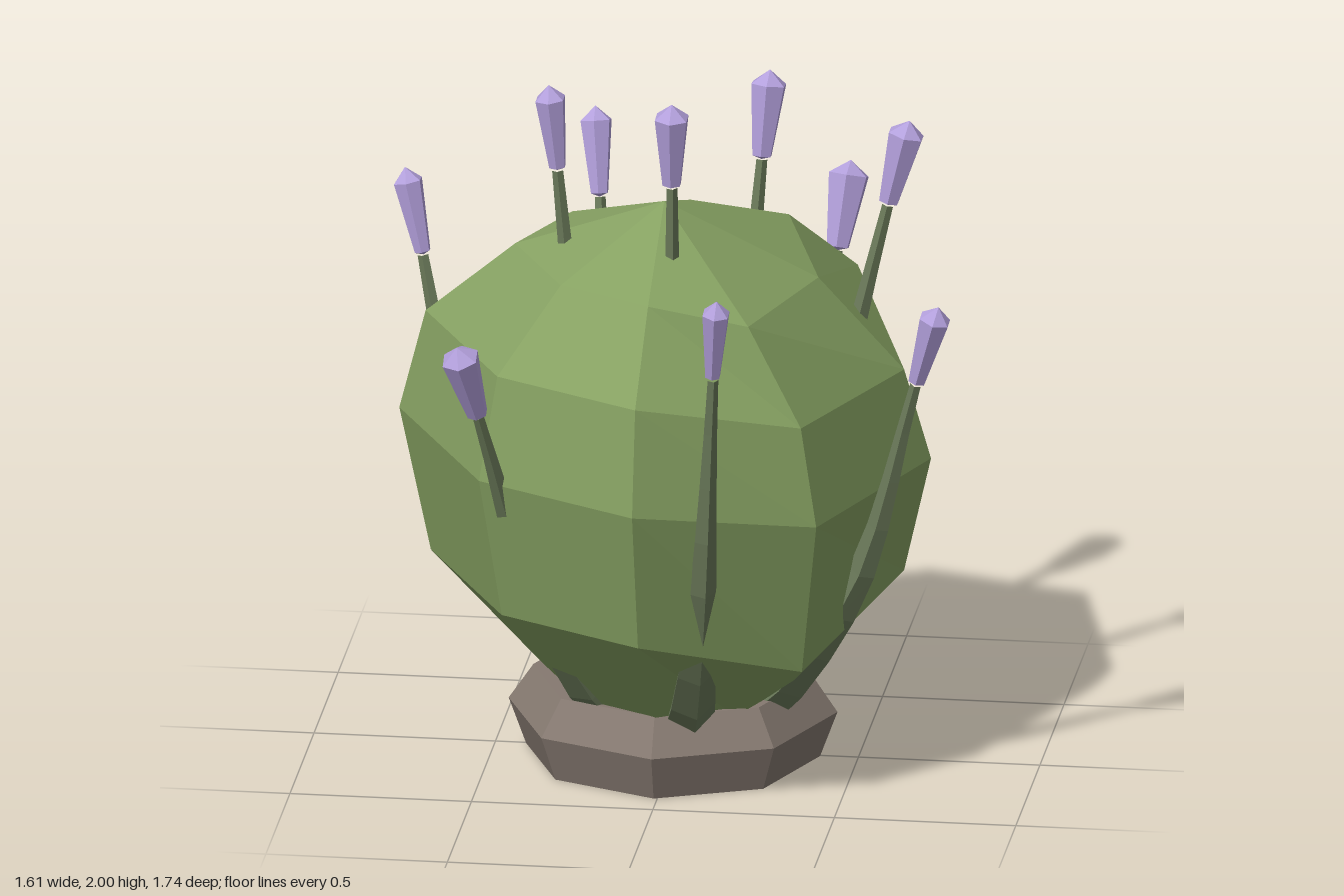
import * as THREE from 'three';

const mat = (color) => new THREE.MeshStandardMaterial({ color, flatShading: true });
const V = (x, y, z) => new THREE.Vector3(x, y, z);
const lathe = (profile, sides) =>
  new THREE.LatheGeometry(profile.map(([r, y]) => new THREE.Vector2(r, y)), sides);

// Faceted body: eight columns swept through five rings, closed by two poles
function bodyGeometry() {
  // equator corner [x, z] of each column, from the left side to the front and round
  const columns = [[0.70, 0], [0.46, 0.575], [-0.015, 0.82], [-0.47, 0.57],
    [-0.765, 0], [-0.555, -0.49], [-0.015, -0.73], [0.48, -0.585]];
  // ring height, scale, z shift, sag of the first two columns
  const rings = [
    [1.47, 0.57, 0.07, -0.06, -0.06],
    [1.25, 0.90, 0.03, -0.11, -0.11],
    [0.955, 1, 0, -0.08, -0.09],
    [0.54, 0.89, -0.02, 0, -0.125],
    [0.19, 0.43, 0, 0, 0],
  ];
  const n = columns.length;
  const points = [];
  for (const [y, scale, dz, ...sag] of rings) {
    columns.forEach(([x, z], j) => points.push(x * scale, y + (sag[j] ?? 0), z * scale + dz));
  }
  points[5] += 0.1; // fuller shoulder at one front corner
  const top = rings.length * n, bottom = top + 1;
  points.push(-0.015, 1.64, 0.15, -0.01, 0.12, 0);
  const index = [];
  for (let j = 0; j < n; j++) {
    const k = (j + 1) % n, last = (rings.length - 1) * n;
    index.push(top, k, j, bottom, last + j, last + k);
    for (let i = 0; i < rings.length - 1; i++) {
      const a = i * n + j, b = i * n + k, c = b + n, d = a + n;
      index.push(b, c, d, b, d, a);
    }
  }
  const g = new THREE.BufferGeometry();
  g.setAttribute('position', new THREE.Float32BufferAttribute(points, 3));
  g.setIndex(index);
  const flat = g.toNonIndexed();
  flat.computeVertexNormals();
  return flat;
}

// Curved stem, thick at the root and thin under the bud
function stemGeometry(path, rootRadius, endRadius) {
  const curve = new THREE.CatmullRomCurve3(path);
  const steps = 8, sides = 5;
  const g = new THREE.TubeGeometry(curve, steps, 1, sides);
  const pos = g.attributes.position, p = V(0, 0, 0);
  for (let i = 0; i <= steps; i++) {
    const c = curve.getPointAt(i / steps);
    const r = endRadius + (rootRadius - endRadius) * (1 - i / steps) ** 1.3;
    for (let s = 0; s <= sides; s++) {
      const k = i * (sides + 1) + s;
      p.fromBufferAttribute(pos, k).sub(c).multiplyScalar(r).add(c);
      pos.setXYZ(k, p.x, p.y, p.z);
    }
  }
  g.computeVertexNormals();
  return g;
}

// Flower: the stem leaves the pot, turns upward at the bend and runs straight to the tip
function makeFlower(tip, bend, radius, stemMat, budMat) {
  const length = 0.25;
  const axis = tip.clone().sub(bend).normalize();
  const base = tip.clone().addScaledVector(axis, -length);
  const path = [
    V(bend.x * 0.42, 0.18, bend.z * 0.42),
    V(bend.x * 0.62, 0.29, bend.z * 0.62),
    bend,
    base,
  ];
  const stem = new THREE.Mesh(stemGeometry(path, 0.075, 0.016), stemMat);
  stem.name = 'stem';

  // six-sided bud, widening upward to a shallow point
  const profile = [[0, 0], [radius * 0.55, 0.01], [radius, length - 0.04], [0, length]];
  const bud = new THREE.Mesh(lathe(profile, 6), budMat);
  bud.name = 'bud';
  bud.quaternion.setFromUnitVectors(V(0, 1, 0), axis);
  bud.position.copy(base);

  const flower = new THREE.Group();
  flower.add(stem, bud);
  return flower;
}

export function createModel() {
  const model = new THREE.Group();
  model.name = 'pottedPlant';

  const body = new THREE.Mesh(bodyGeometry(), mat(0x86a162));
  body.name = 'body';
  model.add(body);

  // Octagonal pot with a chamfered rim
  const potProfile = [[0, 0], [0.405, 0], [0.453, 0.13], [0.385, 0.23], [0, 0.23]];
  const pot = new THREE.Mesh(lathe(potProfile, 8), mat(0x857970));
  pot.name = 'pot';
  pot.position.set(-0.01, 0, 0.005);
  model.add(pot);

  // Flowers: tip, bend, bud radius
  const stemMat = mat(0x6b7a5a), budMat = mat(0xb3a0dc);
  const flowers = [
    [V(-0.33, 1.97, 0.175), V(-0.22, 0.8, 0.12), 0.044],
    [V(0.035, 2.0, 0.375), V(0.02, 0.8, 0.25), 0.05],
    [V(0.195, 1.815, -0.465), V(0.12, 0.8, -0.3), 0.052],
    [V(0.63, 1.82, -0.085), V(0.37, 0.75, -0.04), 0.053],
    [V(0.775, 1.46, 0.41), V(0.54, 0.62, 0.29), 0.046],
    [V(0.22, 1.6, 0.835), V(0.15, 0.64, 0.64), 0.04],
    [V(-0.505, 1.41, 0.77), V(-0.34, 0.62, 0.46), 0.054],
    [V(-0.78, 1.57, -0.23), V(-0.57, 0.62, -0.14), 0.042],
    [V(-0.325, 1.585, -0.755), V(-0.24, 0.62, -0.48), 0.046],
    [V(0.37, 1.435, -0.825), V(0.275, 0.63, -0.56), 0.06],
  ];
  flowers.forEach(([tip, bend, radius], i) => {
    const flower = makeFlower(tip, bend, radius, stemMat, budMat);
    flower.name = 'flower' + (i + 1);
    model.add(flower);
  });
  return model;
}
